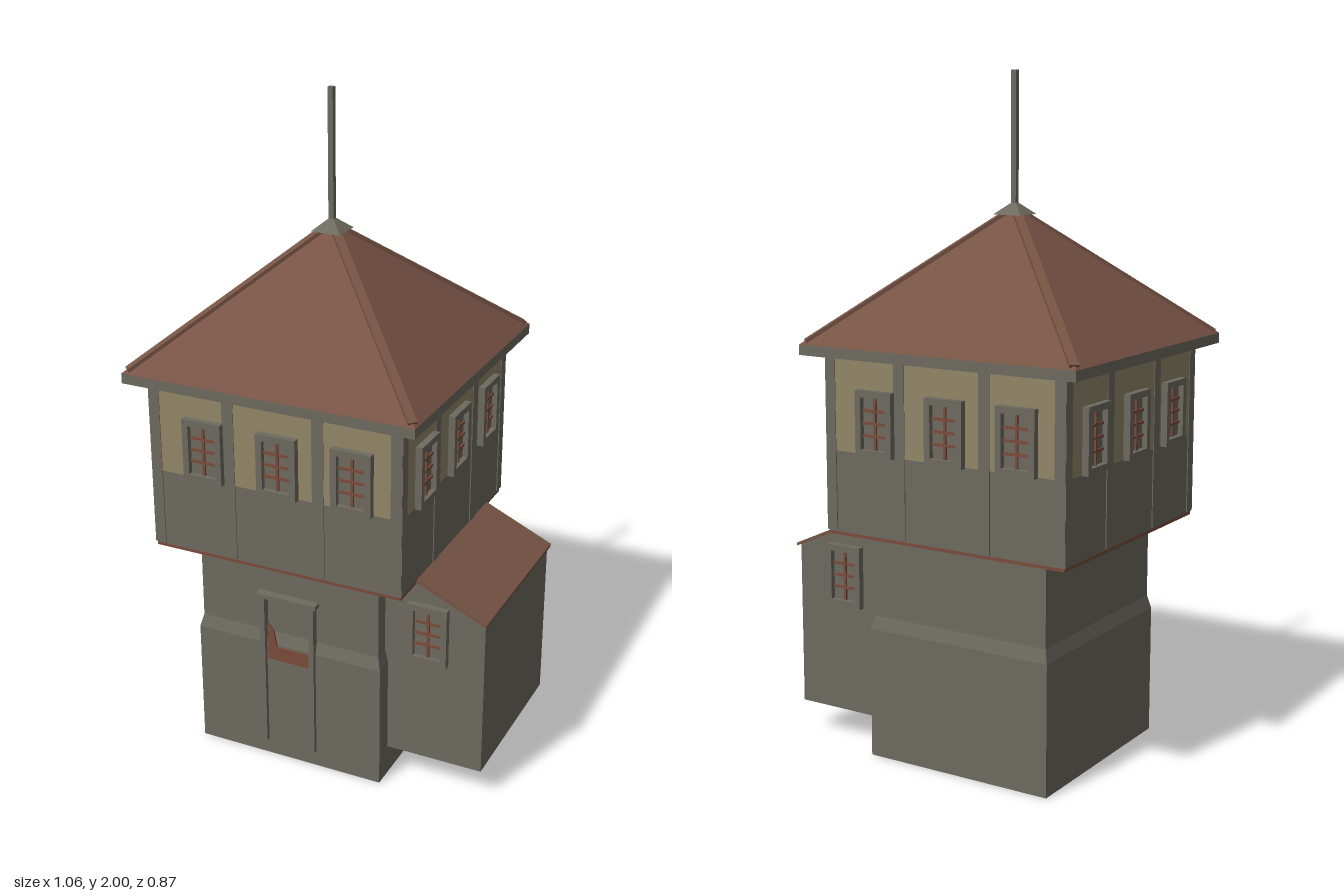
import * as THREE from 'three';

const mat = (name, color, side = THREE.FrontSide) => {
  const m = new THREE.MeshStandardMaterial({ color, side });
  m.name = name;
  return m;
};

export function createModel() {
  const stone = mat('weathered grey', 0x6d6a5f);
  const plaster = mat('tan plaster', 0x918667);
  const tile = mat('roof brown', 0x775444);
  const red = mat('red brown', 0x7a4c3b);
  const tower = new THREE.Group();
  tower.name = 'watchtower';
  const CX = -0.08;

  const add = (parent, name, geo, material, x = 0, y = 0, z = 0) => {
    const m = new THREE.Mesh(geo, material);
    m.name = name;
    m.position.set(x, y, z);
    parent.add(m);
    return m;
  };
  const box = (parent, name, material, x0, x1, y0, y1, z0, z1) =>
    add(parent, name, new THREE.BoxGeometry(x1 - x0, y1 - y0, z1 - z0), material,
      (x0 + x1) / 2, (y0 + y1) / 2, (z0 + z1) / 2);
  // Four-sided block whose top is scaled by the ratio k
  const frustum = (name, material, w, d, y0, y1, k) => {
    let g = new THREE.CylinderGeometry(k * Math.SQRT1_2, Math.SQRT1_2, y1 - y0, 4);
    g.rotateY(Math.PI / 4);
    g.scale(w, 1, d);
    g = g.toNonIndexed();
    g.computeVertexNormals();
    return add(tower, name, g, material, CX, (y0 + y1) / 2, 0);
  };
  const polygon = pts => new THREE.Shape(pts.map(p => new THREE.Vector2(...p)));
  const extrude = (shape, depth) => new THREE.ExtrudeGeometry(shape, { depth, bevelEnabled: false });

  // Window facing +z, centred on its own origin
  const windowUnit = (parent, x, y, z) => {
    const w = 0.0615, h = 0.094, t = 0.019;
    const g = new THREE.Group();
    g.name = 'window';
    g.position.set(x, y, z);
    const shape = polygon([[-w, -h], [w, -h], [w, h], [-w, h]]);
    const a = w - t, b = h - t;
    shape.holes.push(new THREE.Path([[-a, -b], [-a, b], [a, b], [a, -b]].map(p => new THREE.Vector2(...p))));
    add(g, 'windowFrame', extrude(shape, 0.02), stone);
    box(g, 'windowPane', stone, -a, a, -b, b, 0, 0.004);
    box(g, 'windowMullion', red, -0.004, 0.004, -b, b, 0.004, 0.01);
    for (const v of [-0.036, 0, 0.036])
      box(g, 'windowBar', red, -a, a, v - 0.004, v + 0.004, 0.004, 0.009);
    parent.add(g);
  };

  // Stone base with a battered step
  frustum('base', stone, 0.6, 0.63, 0, 0.39, 1);
  frustum('baseStep', stone, 0.6, 0.63, 0.39, 0.43, 0.967);
  frustum('shaft', stone, 0.58, 0.61, 0.43, 0.69, 1);

  // Doorway
  for (const x of [-0.158, 0.003])
    box(tower, 'doorPost', stone, x - 0.008, x + 0.008, 0.05, 0.55, 0.3, 0.328);
  box(tower, 'doorLintel', stone, -0.175, 0.02, 0.55, 0.563, 0.3, 0.333);
  add(tower, 'doorBoards', extrude(polygon([[-0.145, 0.34], [-0.01, 0.34], [-0.01, 0.385],
    [-0.115, 0.385], [-0.125, 0.44], [-0.145, 0.465]]), 0.005), red, 0, 0, 0.314);

  // Side annex with a lean-to roof
  add(tower, 'annex', extrude(polygon([[0.2, 0.095], [0.52, 0.095], [0.52, 0.592],
    [0.32, 0.686], [0.2, 0.686]]), 0.515), stone, 0, 0, -0.257);
  add(tower, 'annexRoof', extrude(polygon([[0.3, 0.688], [0.527, 0.588], [0.527, 0.597],
    [0.3, 0.7]]), 0.54), tile, 0, 0, -0.27);
  for (const s of [1, -1]) {
    const holder = new THREE.Group();
    holder.name = 'annexWindow';
    holder.rotation.y = s > 0 ? 0 : Math.PI;
    windowUnit(holder, 0.348 * s, 0.52, 0.258);
    tower.add(holder);
  }

  // Overhanging upper storey
  box(tower, 'storeyFloor', red, CX - 0.392, CX + 0.392, 0.682, 0.695, -0.382, 0.382);
  box(tower, 'upperStorey', stone, CX - 0.393, CX + 0.393, 0.692, 1.21, -0.383, 0.383);
  for (let i = 0; i < 4; i++) {
    const half = i % 2 ? 0.383 : 0.393, dist = i % 2 ? 0.393 : 0.383;
    const side = new THREE.Group();
    side.name = 'storeySide';
    side.position.x = CX;
    side.rotation.y = i * Math.PI / 2;
    tower.add(side);
    box(side, 'plasterPanel', plaster, -half + 0.02, half - 0.02, 0.93, 1.205, dist - 0.002, dist + 0.001);
    for (const p of [-0.14, 0.14])
      box(side, 'wallPost', stone, p - 0.018, p + 0.018, 0.695, 1.208, dist - 0.01, dist + 0.003);
    for (const s of [-1, 1]) {
      const a = s * (half + 0.002), b = s * (half - 0.032);
      box(side, 'cornerPost', stone, Math.min(a, b), Math.max(a, b), 0.695, 1.208, dist - 0.01, dist + 0.003);
    }
    const shift = i % 2 ? 0 : 0.018;
    for (const x of [-0.235, 0, 0.23]) windowUnit(side, x + shift, 1.022, dist + 0.001);
  }

  // Hipped roof with fascia, soffit, ridge strips, cap and pole
  box(tower, 'fascia', stone, CX - 0.45, CX + 0.45, 1.205, 1.235, -0.433, 0.433);
  box(tower, 'soffit', tile, CX - 0.435, CX + 0.435, 1.202, 1.207, -0.418, 0.418);
  frustum('roof', tile, 0.9, 0.866, 1.235, 1.618, 0.001);
  const apex = new THREE.Vector3(CX, 1.614, 0);
  for (const sx of [-1, 1]) for (const sz of [-1, 1]) {
    const corner = new THREE.Vector3(CX + sx * 0.437, 1.242, sz * 0.42);
    const ridge = add(tower, 'hipRidge',
      new THREE.BoxGeometry(0.026, 0.014, apex.distanceTo(corner)), tile);
    ridge.position.copy(apex).lerp(corner, 0.5);
    ridge.lookAt(apex);
  }
  frustum('roofCap', stone, 0.092, 0.088, 1.594, 1.628, 0.15);
  box(tower, 'pole', stone, CX - 0.008, CX + 0.008, 1.61, 2, -0.008, 0.008);

  return tower;
}
